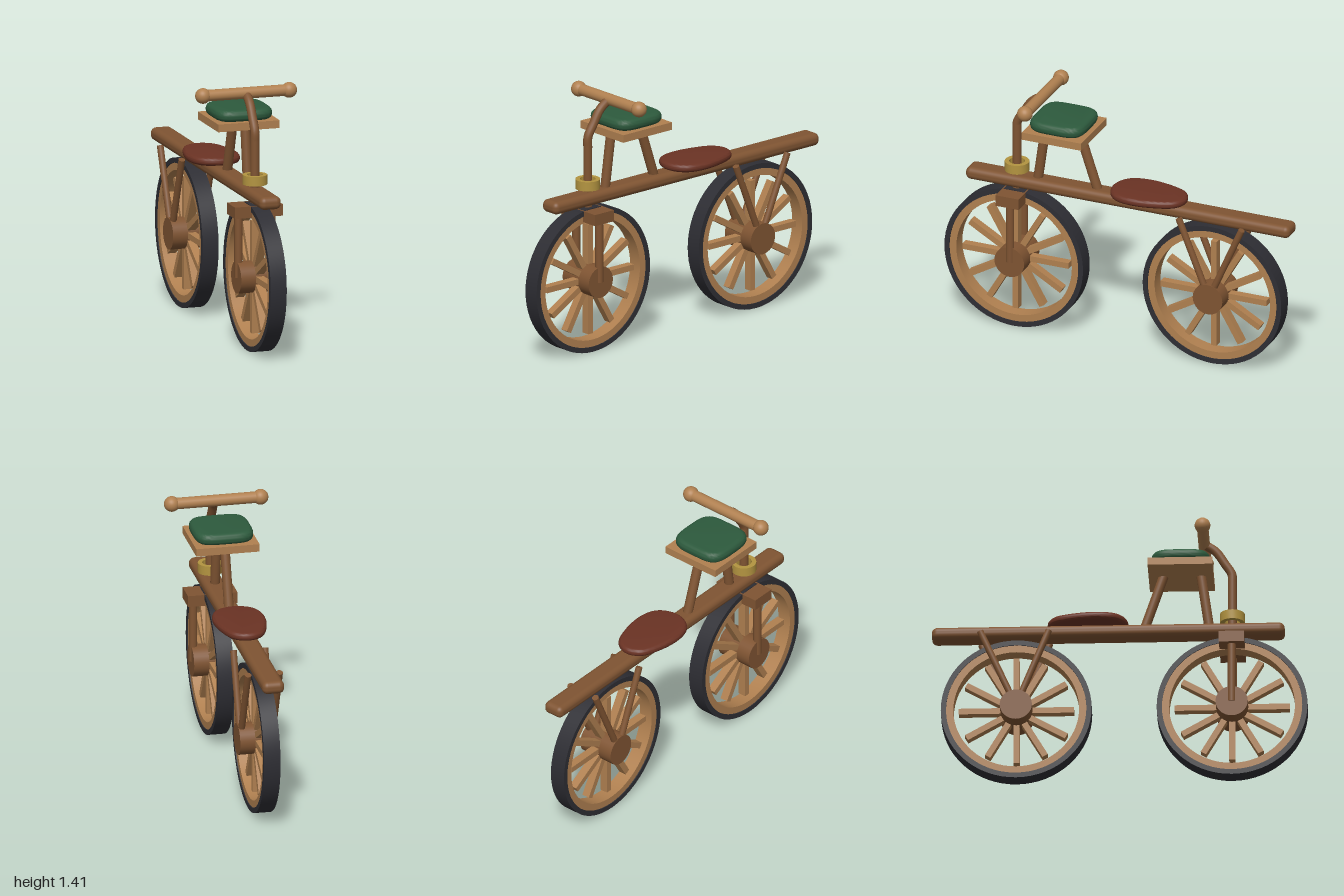
import * as THREE from 'three';
import { toCreasedNormals } from 'three/addons/utils/BufferGeometryUtils.js';
import { RoundedBoxGeometry } from 'three/addons/geometries/RoundedBoxGeometry.js';

const paint = (name, color) => {
  const m = new THREE.MeshStandardMaterial({ color });
  m.name = name;
  return m;
};
const V = (x, y, z) => new THREE.Vector3(x, y, z);

export function createModel() {
  const wood = paint('brownWood', 0x7f5432);
  const paleWood = paint('paleWood', 0xb08050);
  const rubber = paint('darkTyre', 0x2e2e34);
  const brass = paint('brass', 0xb39440);
  const green = paint('greenCushion', 0x2d5a3d);
  const leather = paint('redLeather', 0x6b3324);

  const model = new THREE.Group();
  model.name = 'woodenBicycle';

  const add = (name, geometry, material, x = 0, y = 0, z = 0, parent = model) => {
    const mesh = new THREE.Mesh(geometry, material);
    mesh.name = name;
    mesh.position.set(x, y, z);
    parent.add(mesh);
    return mesh;
  };

  // Round bar between two points
  const bar = (name, a, b, r, material) => {
    const mid = a.clone().add(b).multiplyScalar(0.5);
    const mesh = add(name, new THREE.CylinderGeometry(r, r, a.distanceTo(b), 20), material, mid.x, mid.y, mid.z);
    mesh.quaternion.setFromUnitVectors(V(0, 1, 0), b.clone().sub(a).normalize());
    return mesh;
  };

  // Square-section ring around y
  const ring = (inner, outer, half, segments) => toCreasedNormals(new THREE.LatheGeometry([
    [inner, -half], [outer, -half], [outer, half], [inner, half], [inner, -half],
  ].map(([x, y]) => new THREE.Vector2(x, y)), segments), 0.6);

  // Flat pad with rounded edges; outline given as [x, z]
  const pad = (outline, height, bevel) => {
    const shape = new THREE.Shape(outline.map(([x, z]) => new THREE.Vector2(x, -z)));
    const g = new THREE.ExtrudeGeometry(shape, {
      depth: height - 2 * bevel, bevelEnabled: true, bevelThickness: bevel,
      bevelSize: bevel, bevelOffset: -bevel, bevelSegments: 6,
    });
    g.rotateX(-Math.PI / 2).translate(0, bevel, 0);
    return toCreasedNormals(g, 0.9);
  };

  // Wheels
  const R = 0.402;
  const wheel = (name, z) => {
    const group = new THREE.Group();
    group.name = name;
    group.position.set(0, R, z);
    model.add(group);
    add('tyre', ring(0.374, R, 0.045, 64).rotateZ(Math.PI / 2), rubber, 0, 0, 0, group);
    add('rim', ring(0.335, 0.376, 0.04, 64).rotateZ(Math.PI / 2), paleWood, 0, 0, 0, group);
    add('hub', new THREE.CylinderGeometry(0.086, 0.086, 0.21, 32).rotateZ(Math.PI / 2), wood, 0, 0, 0, group);
    for (let i = 0; i < 12; i++) {
      const spoke = new THREE.BoxGeometry(0.045, 0.25, 0.033).translate(0, 0.182, 0);
      add('spoke', spoke, paleWood, 0, 0, 0, group).rotation.x = (i * Math.PI) / 6;
    }
  };
  wheel('frontWheel', 0.6);
  wheel('rearWheel', -0.55);

  // Main beam
  add('beam', new RoundedBoxGeometry(0.12, 0.07, 1.88, 5, 0.03), wood, 0, 0.853, -0.06);

  // Front fork and rear stays
  add('forkCrown', new THREE.BoxGeometry(0.27, 0.062, 0.135), wood, 0, 0.768, 0.6);
  for (const s of [-1, 1]) {
    bar('forkLeg', V(s * 0.093, R, 0.6), V(s * 0.093, 0.77, 0.6), 0.022, wood);
    for (const z of [-0.375, -0.74]) bar('rearStay', V(s * 0.086, R, -0.55), V(s * 0.086, 0.84, z), 0.018, wood);
  }

  // Steering column bending back to the handlebar
  bar('steeringColumn', V(0, 0.77, 0.6), V(0, 1.18, 0.6), 0.024, wood);
  const bend = new THREE.CatmullRomCurve3([V(0, 1.13, 0.6), V(0, 1.19, 0.598), V(0, 1.255, 0.56), V(0, 1.325, 0.513), V(0, 1.37, 0.45)]);
  add('steeringBend', new THREE.TubeGeometry(bend, 32, 0.024, 16), wood);
  add('collar', ring(0.042, 0.066, 0.026, 40), brass, 0, 0.931, 0.6);
  bar('handlebar', V(-0.24, 1.37, 0.45), V(0.24, 1.37, 0.45), 0.031, paleWood);
  for (const s of [-1, 1]) add('handleKnob', new THREE.SphereGeometry(0.042, 28, 18), paleWood, s * 0.242, 1.37, 0.45);

  // Raised seat on two posts
  bar('seatPostFront', V(0, 0.86, 0.48), V(0, 1.19, 0.434), 0.026, wood);
  bar('seatPostRear', V(0, 0.86, 0.126), V(0, 1.19, 0.236), 0.026, wood);
  add('seatBoard', new THREE.BoxGeometry(0.345, 0.042, 0.345), paleWood, 0, 1.198, 0.327);
  const cushion = [];
  for (let i = 0; i < 64; i++) {
    const a = (i / 64) * Math.PI * 2, c = Math.cos(a), s = Math.sin(a);
    cushion.push([0.161 * Math.sign(c) * Math.abs(c) ** 0.5, -0.159 * Math.sign(s) * Math.abs(s) ** 0.55]);
  }
  add('cushion', pad(cushion, 0.062, 0.028), green, 0, 1.219, 0.328);

  // Egg-shaped leather saddle
  const half = [[0, 0.046], [0.07, 0.028], [0.117, -0.015], [0.14, -0.1], [0.127, -0.23], [0.078, -0.35], [0, -0.384]];
  const loop = [...half, ...half.slice(1, -1).reverse().map(([x, z]) => [-x, z])];
  const egg = new THREE.CatmullRomCurve3(loop.map(([x, z]) => V(x, 0, z)), true)
    .getSpacedPoints(64).slice(0, 64).map((p) => [p.x, p.z]);
  add('saddle', pad(egg, 0.042, 0.019), leather, 0, 0.885, 0);

  return model;
}
